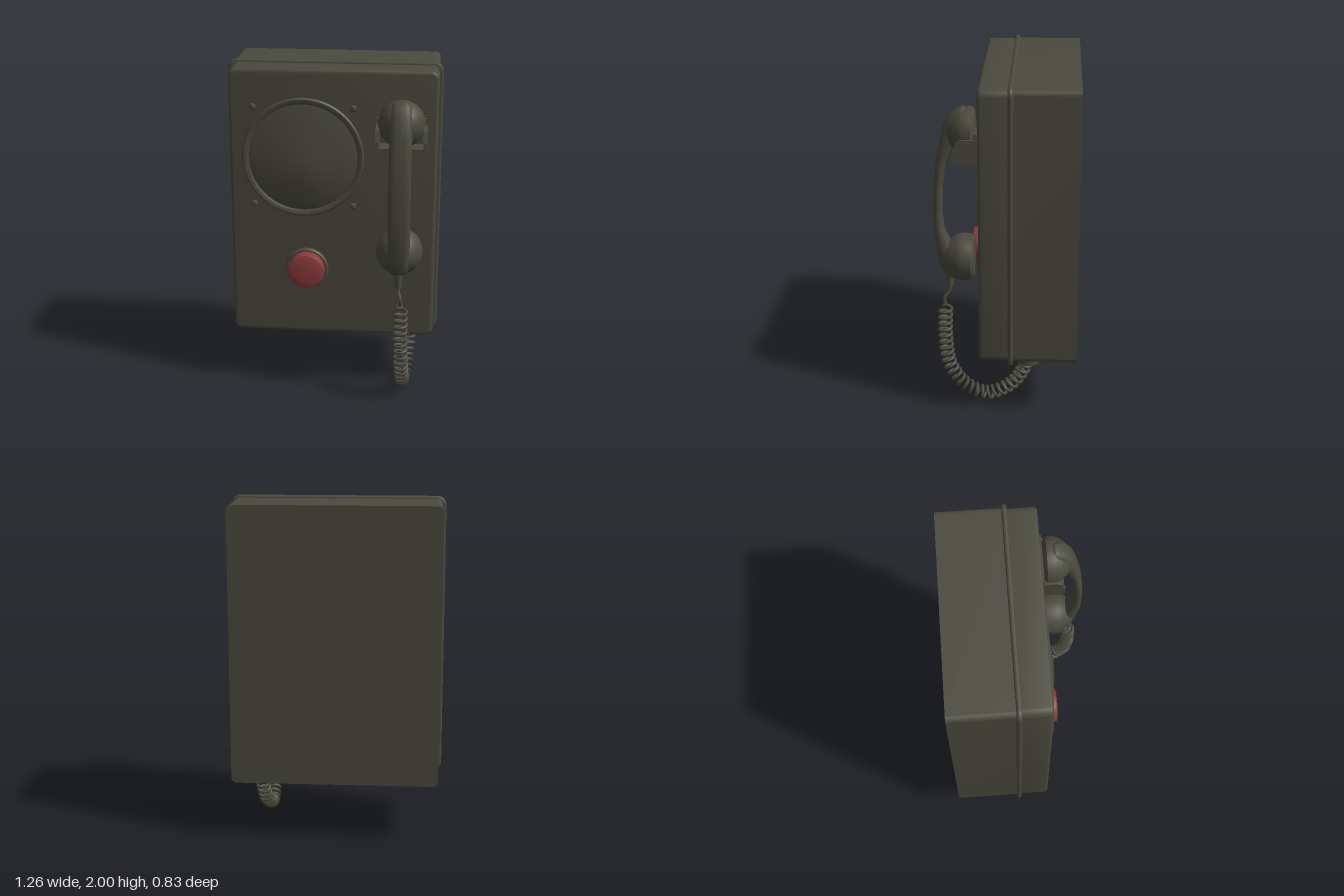
import * as THREE from 'three';
import { toCreasedNormals } from 'three/addons/utils/BufferGeometryUtils.js';

const casing = new THREE.MeshStandardMaterial({ color: 0x4b4a3e });
casing.name = 'olive casing';
const red = new THREE.MeshStandardMaterial({ color: 0x8c3a3a });
red.name = 'red button';

function add(parent, name, geometry, material, x = 0, y = 0, z = 0) {
  const mesh = new THREE.Mesh(geometry, material);
  mesh.name = name;
  mesh.position.set(x, y, z);
  parent.add(mesh);
  return mesh;
}

// Rounded rectangle slab of half-size w, h between z0 and z1
function slab(w, h, r, z0, z1, bevel = 0) {
  const a = w - bevel, b = h - bevel;
  const s = new THREE.Shape();
  s.moveTo(-a + r, -b);
  s.lineTo(a - r, -b).absarc(a - r, -b + r, r, -Math.PI / 2, 0);
  s.lineTo(a, b - r).absarc(a - r, b - r, r, 0, Math.PI / 2);
  s.lineTo(-a + r, b).absarc(-a + r, b - r, r, Math.PI / 2, Math.PI);
  s.lineTo(-a, -b + r).absarc(-a + r, -b + r, r, Math.PI, Math.PI * 1.5);
  const g = new THREE.ExtrudeGeometry(s, {
    depth: z1 - z0 - 2 * bevel, curveSegments: 6, bevelEnabled: bevel > 0,
    bevelSize: bevel, bevelThickness: bevel, bevelSegments: 4,
  });
  g.translate(0, 0, z0 + bevel);
  return toCreasedNormals(g, 0.7);
}

// Turned part from [radius, height] pairs, facing +z
function turned(profile, segments = 40) {
  const g = new THREE.LatheGeometry(profile.map(p => new THREE.Vector2(...p)), segments);
  g.rotateX(Math.PI / 2);
  return toCreasedNormals(g, 0.7);
}

// Handle lofted upwards through rows of [y, inner z, outer z, half width]
function loft(rows, n = 20) {
  const pos = [], index = [];
  for (const [y, z0, z1, w] of rows) {
    for (let i = 0; i < n; i++) {
      const a = (i / n) * Math.PI * 2, c = Math.cos(a), s = Math.sin(a);
      pos.push(w * Math.sign(c) * Math.abs(c) ** 0.75, y,
        (z0 + z1) / 2 + (z1 - z0) / 2 * Math.sign(s) * Math.abs(s) ** 0.75);
    }
  }
  for (let r = 0; r < rows.length - 1; r++) {
    for (let i = 0; i < n; i++) {
      const a = r * n + i, b = r * n + (i + 1) % n;
      index.push(a, a + n, b, b, a + n, b + n);
    }
  }
  const last = (rows.length - 1) * n;
  for (let i = 1; i < n - 1; i++) {
    index.push(0, i, i + 1, last, last + i + 1, last + i);
  }
  const g = new THREE.BufferGeometry();
  g.setAttribute('position', new THREE.Float32BufferAttribute(pos, 3));
  g.setIndex(index);
  g.computeVertexNormals();
  return g;
}

const curve = pts => new THREE.CatmullRomCurve3(pts.map(p => new THREE.Vector3(...p)));

// Helix wound around a hanging path
class Coil extends THREE.Curve {
  constructor(path, turns, radius) {
    super();
    Object.assign(this, { path, turns, radius });
  }
  getPoint(t, target = new THREE.Vector3()) {
    const u = Math.min(1, Math.max(0, t));
    const tangent = this.path.getTangentAt(u);
    const side = new THREE.Vector3(1, 0, 0);
    const up = new THREE.Vector3().crossVectors(tangent, side).normalize();
    const r = this.radius * Math.min(1, u * 40, (1 - u) * 40);
    const a = u * this.turns * Math.PI * 2;
    return target.copy(this.path.getPointAt(u))
      .addScaledVector(side, r * Math.cos(a)).addScaledVector(up, r * Math.sin(a));
  }
}

export function createModel() {
  const model = new THREE.Group();
  model.name = 'wallTelephone';

  // Cabinet: square-backed box, softened cover and the raised rim between them
  const midY = 1.166;
  add(model, 'cabinetBack', slab(0.607, 0.817, 0.03, -0.415, -0.02), casing, 0, midY);
  add(model, 'cabinetCover', slab(0.607, 0.817, 0.025, -0.05, 0.15, 0.02), casing, 0, midY);
  add(model, 'rim', slab(0.63, 0.839, 0.04, -0.047, -0.017, 0.013), casing, 0, 1.161);

  // Loudspeaker: ring, lopsided shallow cone and four corner screws
  const speaker = new THREE.Group();
  speaker.name = 'loudspeaker';
  speaker.position.set(-0.175, 1.46, 0.15);
  model.add(speaker);
  add(speaker, 'speakerRing', turned([
    [0.358, -0.01], [0.358, 0.008], [0.35, 0.016], [0.33, 0.016], [0.32, 0.008], [0.32, -0.01],
  ], 56), casing);
  const cone = turned([
    [0.322, 0], [0.30, 0.006], [0.24, 0.018], [0.15, 0.034], [0.07, 0.046], [0, 0.05],
  ], 48);
  cone.applyMatrix4(new THREE.Matrix4().makeShear(0, 0, 0, 0, 0.6, -1.2));
  add(speaker, 'speakerCone', cone, casing);
  for (const x of [-0.29, 0.295]) {
    for (const y of [-0.29, 0.3]) {
      add(speaker, 'screw', turned([[0.02, -0.005], [0.02, 0.005], [0.014, 0.012], [0, 0.015]], 14),
        casing, x, y);
    }
  }

  // Push button in its collar
  add(model, 'buttonCollar', turned([
    [0.128, -0.01], [0.128, 0.015], [0.12, 0.024], [0.112, 0.024], [0.106, 0.012], [0.1, 0.012],
  ]), casing, -0.155, 0.77, 0.15);
  add(model, 'button', turned([
    [0.108, 0], [0.108, 0.066], [0.103, 0.076], [0.09, 0.081], [0.05, 0.085], [0, 0.086],
  ]), red, -0.155, 0.77, 0.15);

  // Cradle: back plate, shelf and two side arms
  const cradle = new THREE.Group();
  cradle.name = 'cradle';
  cradle.position.set(0.4, 0, 0);
  model.add(cradle);
  add(cradle, 'cradlePlate', new THREE.BoxGeometry(0.295, 0.17, 0.025), casing, 0, 1.63, 0.16);
  add(cradle, 'cradleShelf', new THREE.BoxGeometry(0.295, 0.025, 0.14), casing, 0, 1.553, 0.22);
  for (const s of [-1, 1]) {
    const arm = new THREE.Shape([[0.15, 1.54], [0.293, 1.54], [0.293, 1.6], [0.27, 1.665],
      [0.24, 1.68], [0.15, 1.68]].map(p => new THREE.Vector2(...p)));
    const g = new THREE.ExtrudeGeometry(arm, { depth: 0.022, bevelEnabled: false });
    g.rotateY(-Math.PI / 2).translate(0.011, 0, 0);
    add(cradle, 'cradleArm', g, casing, s * 0.137);
  }

  // Handset: curved grip with an earpiece and a mouthpiece
  const handset = new THREE.Group();
  handset.name = 'handset';
  handset.position.x = 0.4;
  model.add(handset);
  add(handset, 'grip', loft([
    [0.795, 0.25, 0.29, 0.03], [0.82, 0.23, 0.35, 0.055], [0.88, 0.25, 0.386, 0.064],
    [1.0, 0.31, 0.402, 0.064], [1.1, 0.355, 0.413, 0.064], [1.2, 0.364, 0.416, 0.064],
    [1.35, 0.36, 0.411, 0.064], [1.5, 0.342, 0.397, 0.064], [1.65, 0.28, 0.37, 0.064],
    [1.75, 0.22, 0.343, 0.064], [1.81, 0.21, 0.3, 0.055], [1.83, 0.23, 0.25, 0.03],
  ]), casing);
  add(handset, 'earpiece', turned([
    [0, 0.175], [0.115, 0.175], [0.133, 0.19], [0.134, 0.235], [0.122, 0.265], [0.095, 0.3],
    [0.065, 0.325], [0, 0.34],
  ]), casing, 0, 1.695, 0);
  add(handset, 'mouthpiece', turned([
    [0, 0.183], [0.115, 0.183], [0.133, 0.2], [0.138, 0.25], [0.132, 0.28], [0.105, 0.32],
    [0.068, 0.365], [0, 0.38],
  ]), casing, 0, 0.93, 0);
  add(handset, 'cordSleeve', new THREE.CylinderGeometry(0.024, 0.02, 0.1, 16), casing, 0, 0.79, 0.328);

  // Cord: straight lead, hanging coil and the plug under the cabinet
  add(model, 'cordLead', new THREE.TubeGeometry(curve([
    [0.4, 0.76, 0.328], [0.402, 0.71, 0.332], [0.415, 0.67, 0.36], [0.42, 0.625, 0.355],
  ]), 20, 0.01, 8), casing);
  const hang = curve([
    [0.42, 0.63, 0.355], [0.42, 0.4, 0.358], [0.425, 0.24, 0.335], [0.43, 0.11, 0.25],
    [0.43, 0.048, 0.12], [0.445, 0.1, 0], [0.455, 0.18, -0.075], [0.465, 0.3, -0.13],
  ]);
  add(model, 'coiledCord', new THREE.TubeGeometry(new Coil(hang, 27, 0.036), 500, 0.0095, 7), casing);
  add(model, 'cordPlug', new THREE.CylinderGeometry(0.066, 0.066, 0.08, 24), casing, 0.465, 0.328, -0.133);
  return model;
}
